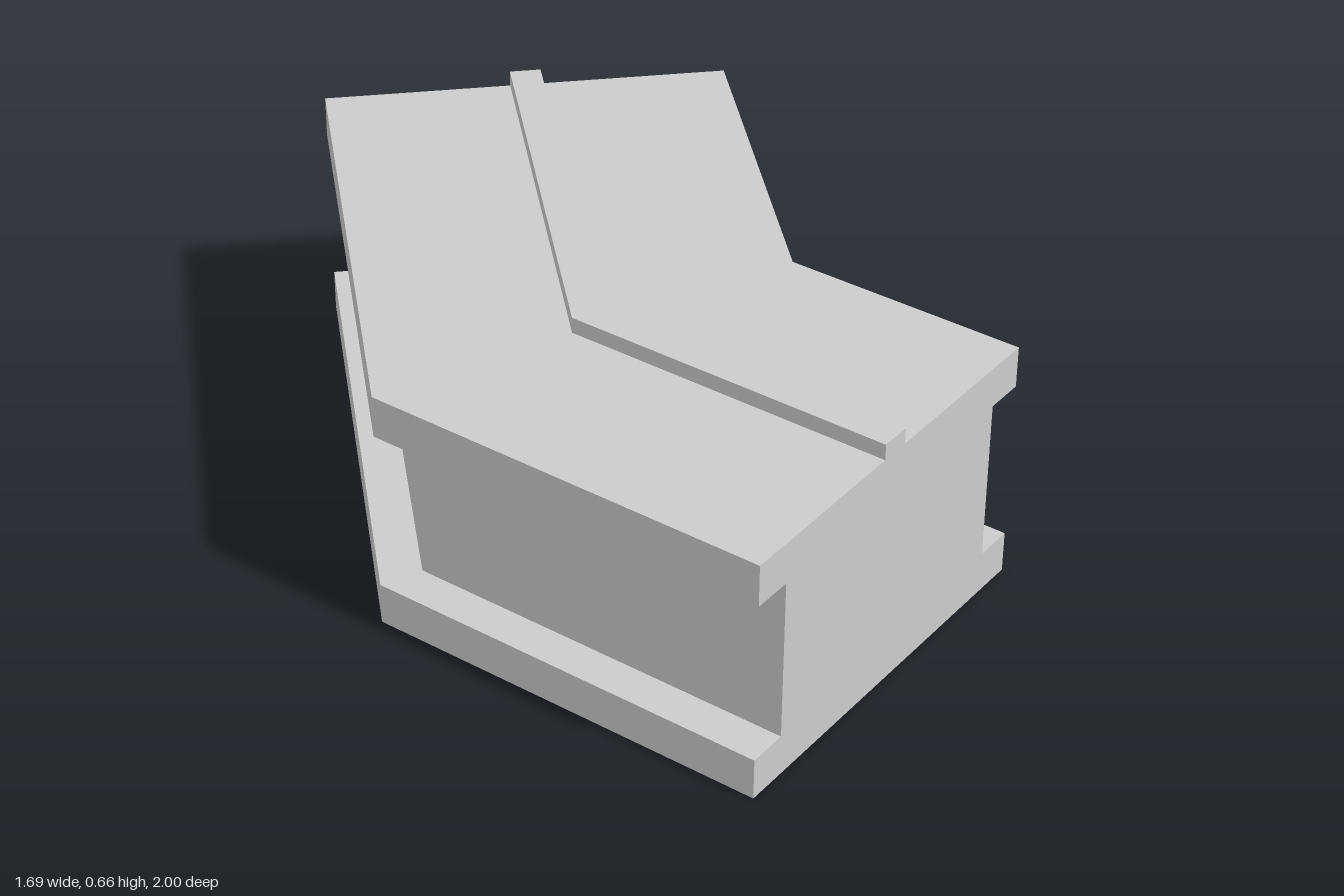
import * as THREE from 'three';

const LEFT = -0.845, RIGHT = 0.175;   // outer edges of the straight run
const LIP = 0.1;                      // overhang of the flanges past the web
const BEND = Math.PI / 4;

// Extrudes a cross-section in two steps, then moves the three rings of vertices
// to the straight end, the mitred bend and the angled end.
function sweepBent(name, points, material) {
  const shape = new THREE.Shape(points.map(([x, y]) => new THREE.Vector2(x, y)));
  const geometry = new THREE.ExtrudeGeometry(shape, { depth: 1, steps: 2, bevelEnabled: false });
  const pos = geometry.attributes.position;
  for (let i = 0; i < pos.count; i++) {
    const across = pos.getX(i) - LEFT;
    const ring = Math.round(pos.getZ(i) * 2);
    if (ring === 2) pos.setZ(i, 1);
    else if (ring === 1) pos.setZ(i, -0.035 + across * Math.tan(BEND / 2));
    else {
      pos.setX(i, 0.12 + across * Math.cos(BEND));
      pos.setZ(i, -1 + across * Math.sin(BEND));
    }
  }
  geometry.computeVertexNormals();
  const mesh = new THREE.Mesh(geometry, material);
  mesh.name = name;
  return mesh;
}

export function createModel() {
  const group = new THREE.Group();
  group.name = 'bentWallSection';
  const material = new THREE.MeshStandardMaterial({ color: 0xcccccc, flatShading: true });

  // Wall body: wide base and cap with a narrower web between them
  const half = [[RIGHT, 0], [RIGHT, 0.105], [RIGHT - LIP, 0.105],
    [RIGHT - LIP, 0.515], [RIGHT, 0.515], [RIGHT, 0.62]];
  const mirrored = half.map(([x, y]) => [LEFT + RIGHT - x, y]).reverse();
  group.add(sweepBent('wallBody', [...half, ...mirrored], material));

  // Narrow ridge along the middle of the cap
  group.add(sweepBent('topRidge',
    [[-0.375, 0.615], [-0.297, 0.615], [-0.297, 0.66], [-0.375, 0.66]], material));

  return group;
}
